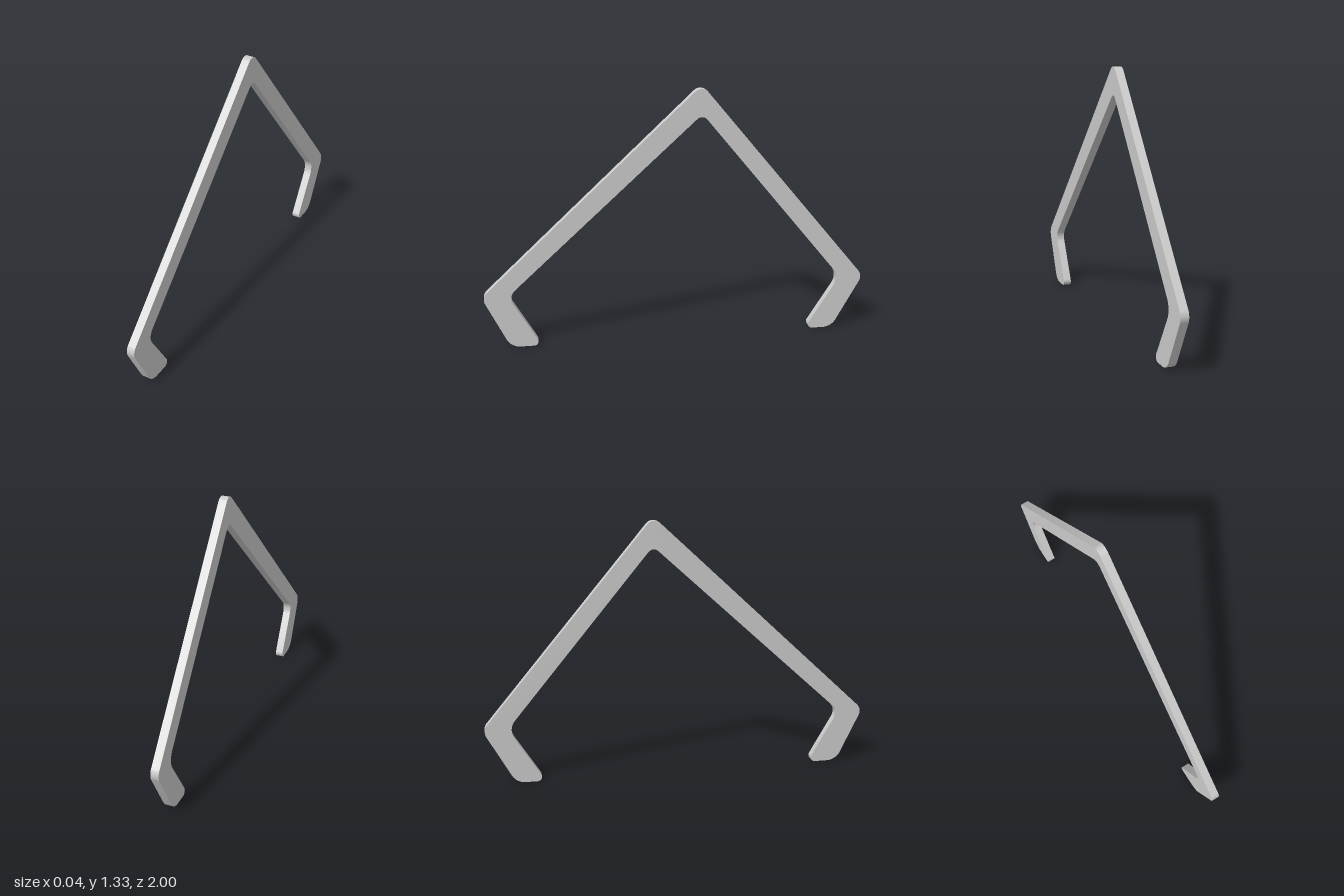
import * as THREE from 'three';
import { toCreasedNormals } from 'three/addons/utils/BufferGeometryUtils.js';

const THICKNESS = 0.042;

// Closed outline whose corners [x, y, radius] are rounded with true arcs
function roundedOutline(corners) {
  const shape = new THREE.Shape();
  const n = corners.length;
  corners.forEach(([x, y, r], i) => {
    const p = new THREE.Vector2(x, y);
    const [px, py] = corners[(i + n - 1) % n];
    const [nx, ny] = corners[(i + 1) % n];
    const a = new THREE.Vector2(px, py).sub(p).normalize();
    const b = new THREE.Vector2(nx, ny).sub(p).normalize();
    const half = Math.acos(a.dot(b)) / 2;
    const center = a.clone().add(b).normalize().multiplyScalar(r / Math.sin(half)).add(p);
    const reach = r / Math.tan(half);
    const start = a.clone().multiplyScalar(reach).add(p).sub(center);
    const end = b.clone().multiplyScalar(reach).add(p).sub(center);
    const clockwise = a.cross(b) > 0;
    shape.absarc(center.x, center.y, r, start.angle(), end.angle(), clockwise);
  });
  return shape;
}

export function createModel() {
  const group = new THREE.Group();
  group.name = 'bentFrame';

  // Side profile, counter-clockwise, with horizontal axis = -z
  const outline = roundedOutline([
    // front foot and front elbow, inner side last
    [-1.0125, 0.281, 0.052],
    [-0.874, 0, 0.08],
    [-0.714, 0, 0.024],
    [-0.878, 0.28, 0.06],
    // underside of the peak
    [0.13, 1.201, 0.036],
    // back elbow and back foot
    [0.882, 0.289, 0.08],
    [0.698, 0, 0.024],
    [0.848, 0, 0.08],
    [1.01, 0.288, 0.055],
    // top of the peak
    [0.127, 1.349, 0.046],
  ]);

  // Flat bar cut to the profile and turned to run front to back
  const geometry = new THREE.ExtrudeGeometry(outline, {
    depth: THICKNESS, bevelEnabled: false, curveSegments: 10,
  });
  geometry.translate(0, 0, -THICKNESS / 2);
  geometry.rotateY(Math.PI / 2);

  const frame = new THREE.Mesh(
    toCreasedNormals(geometry, Math.PI / 6),
    new THREE.MeshStandardMaterial({ color: 0xcccccc })
  );
  frame.name = 'frame';
  group.add(frame);
  return group;
}
